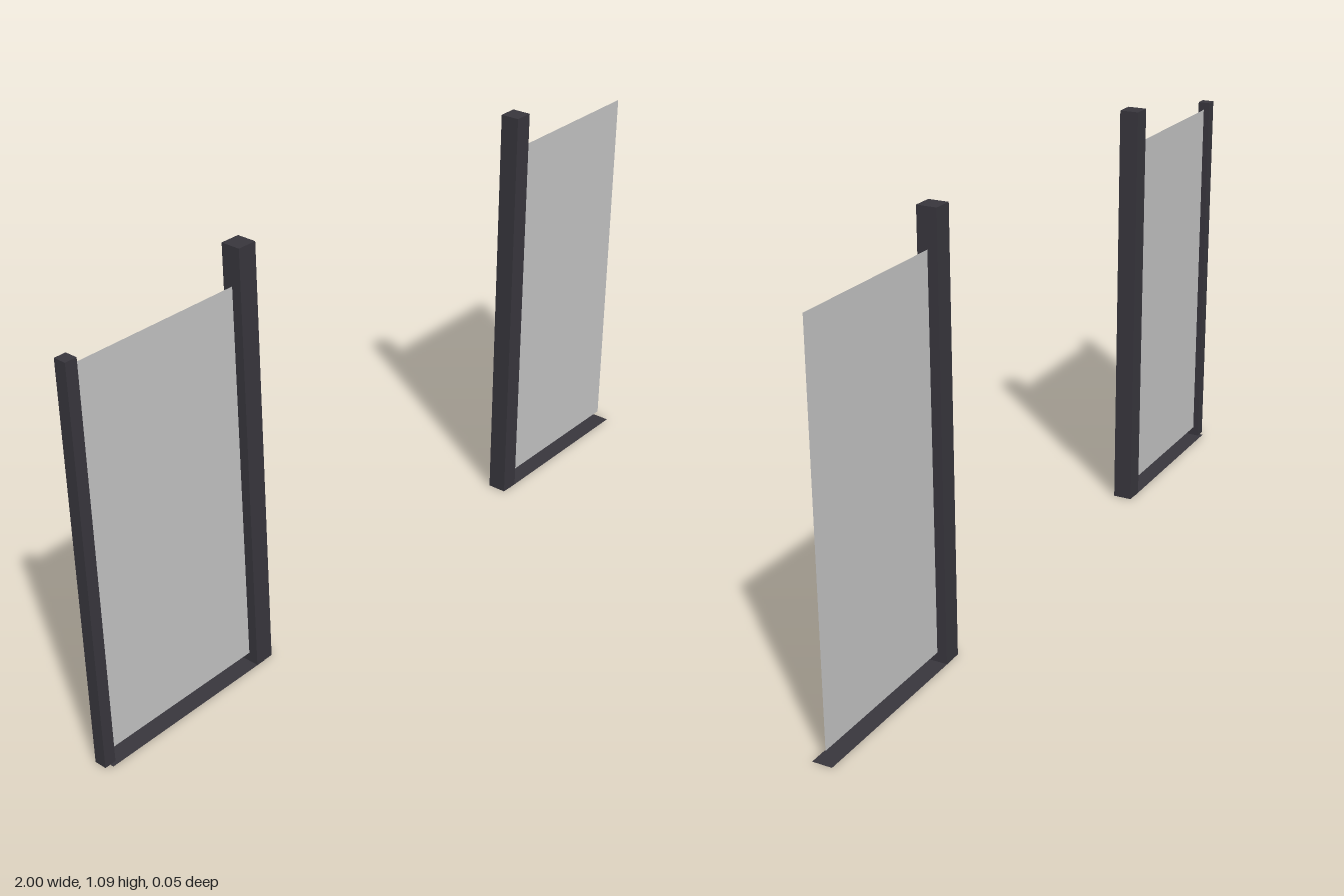
import * as THREE from 'three';

export function createModel() {
  const frame = new THREE.MeshStandardMaterial({ color: 0x38363d, side: THREE.DoubleSide });
  frame.name = 'dark metal';
  const glass = new THREE.MeshStandardMaterial({ color: 0xc2c2c2, side: THREE.DoubleSide });
  glass.name = 'grey glass';

  const model = new THREE.Group();
  model.name = 'glassScreens';

  const add = (parent, name, geometry, material, x, y, z = 0) => {
    const mesh = new THREE.Mesh(geometry, material);
    mesh.name = name;
    mesh.position.set(x, y, z);
    parent.add(mesh);
    return mesh;
  };

  // upright square post, standing just on top of the floor rail
  const post = (parent, name, x0, x1, top, depth) =>
    add(parent, name, new THREE.BoxGeometry(x1 - x0, top - 0.001, depth), frame,
      (x0 + x1) / 2, (top + 0.001) / 2);

  // flat floor rail
  const rail = (parent, x0, x1) =>
    add(parent, 'floorRail', new THREE.PlaneGeometry(x1 - x0, 0.05).rotateX(-Math.PI / 2), frame,
      (x0 + x1) / 2, 0);

  // single sheet of glass
  const pane = (parent, x0, x1) =>
    add(parent, 'glassPane', new THREE.PlaneGeometry(x1 - x0, 0.97), glass, (x0 + x1) / 2, 0.51);

  // right screen: tall inner post and a slim outer post
  const right = new THREE.Group();
  right.name = 'rightScreen';
  post(right, 'innerPost', -0.52, -0.47, 1.09, 0.05);
  post(right, 'outerPost', -1, -0.97, 1.015, 0.032);
  rail(right, -0.985, -0.495);
  pane(right, -0.97, -0.52);

  // left screen: tall inner post, open outer edge
  const left = new THREE.Group();
  left.name = 'leftScreen';
  post(left, 'innerPost', 0.48, 0.53, 1.09, 0.05);
  rail(left, 0.505, 1);
  pane(left, 0.53, 0.985);

  model.add(right, left);
  return model;
}
